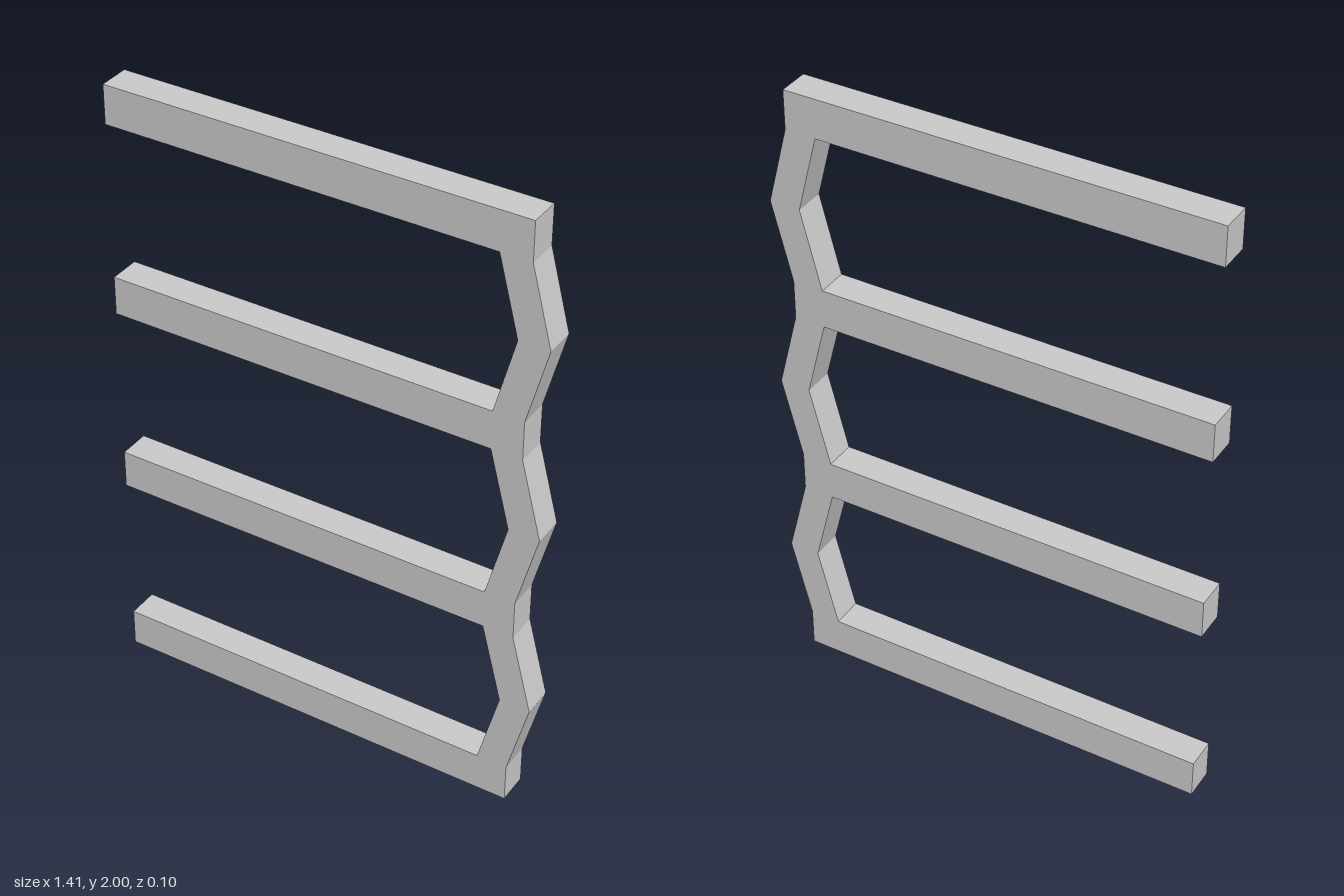
import * as THREE from 'three';

const BARS = 4, PITCH = 0.625, BAR = 0.125, DEPTH = 0.1;
const TIP = -0.705, INNER = 0.542, OUTER = 0.64, BULGE = 0.065;

export function createModel() {
  const group = new THREE.Group();
  group.name = 'combRack';

  // zigzag outer edge of the spine, from bottom to top
  const outline = [];
  for (let i = 0; i < BARS; i++) {
    const y = i * PITCH;
    outline.push([OUTER, y], [OUTER, y + BAR]);
    if (i < BARS - 1) outline.push([OUTER + BULGE, y + (BAR + PITCH) / 2]);
  }
  // bars and the inner edge of the spine, from top to bottom
  for (let i = BARS - 1; i >= 0; i--) {
    const y = i * PITCH;
    if (i < BARS - 1) outline.push([INNER + BULGE, y + (BAR + PITCH) / 2], [INNER, y + BAR]);
    outline.push([TIP, y + BAR], [TIP, y]);
    if (i > 0) outline.push([INNER, y]);
  }

  const shape = new THREE.Shape(outline.map(([x, y]) => new THREE.Vector2(x, y)));
  const geometry = new THREE.ExtrudeGeometry(shape, { depth: DEPTH, bevelEnabled: false });
  geometry.translate(0, 0, -DEPTH / 2);

  const mesh = new THREE.Mesh(
    geometry,
    new THREE.MeshStandardMaterial({ color: 0xcccccc, flatShading: true })
  );
  mesh.name = 'spineWithBars';
  group.add(mesh);
  return group;
}
